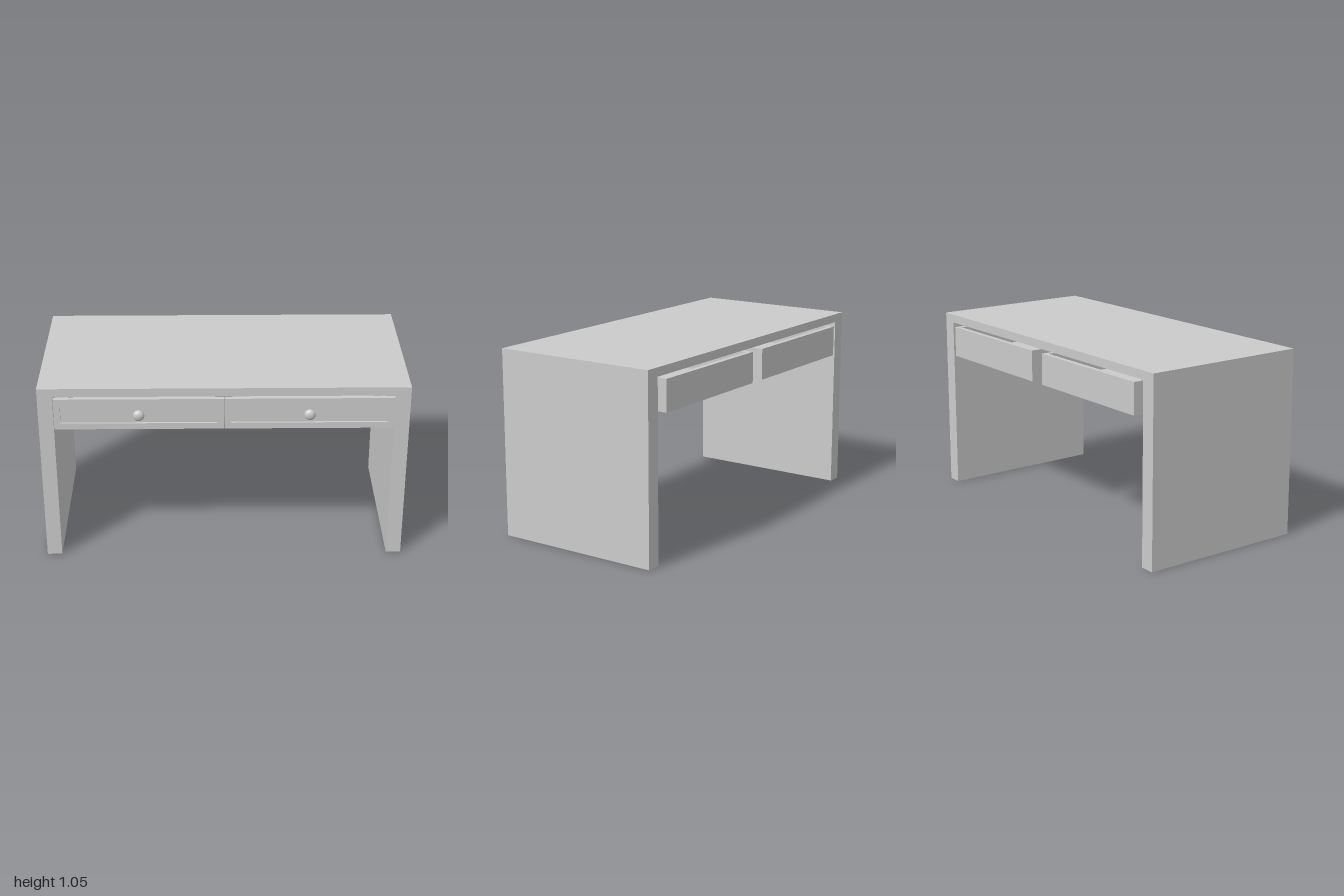
import * as THREE from 'three';

const grey = new THREE.MeshStandardMaterial({ color: 0xcccccc });

// Box given by its minimum and maximum corners
function box(name, x0, x1, y0, y1, z0, z1) {
  const mesh = new THREE.Mesh(new THREE.BoxGeometry(x1 - x0, y1 - y0, z1 - z0), grey);
  mesh.position.set((x0 + x1) / 2, (y0 + y1) / 2, (z0 + z1) / 2);
  mesh.name = name;
  return mesh;
}

// Picture-frame drawer front around a sunken panel
function drawerFront(w, y0, y1, z0, z1) {
  const group = new THREE.Group();
  group.name = 'drawerFront';
  const h = y1 - y0, m = 0.035;
  const rect = (a, b) => [[-a, -b], [a, -b], [a, b], [-a, b]].map(p => new THREE.Vector2(...p));
  const shape = new THREE.Shape(rect(w / 2, h / 2));
  shape.holes.push(new THREE.Path(rect(w / 2 - m, h / 2 - m)));
  const frame = new THREE.Mesh(
    new THREE.ExtrudeGeometry(shape, { depth: z1 - z0, bevelEnabled: false }), grey);
  frame.position.set(0, (y0 + y1) / 2, z0);
  frame.name = 'frontFrame';
  group.add(frame, box('frontPanel', -w / 2 + m, w / 2 - m, y0 + m, y1 - m, z0, z1 - 0.012));
  return group;
}

// Flattened round knob on a short stem
function knob() {
  const group = new THREE.Group();
  group.name = 'knob';
  const stem = new THREE.Mesh(new THREE.CylinderGeometry(0.011, 0.011, 0.045, 20), grey);
  stem.rotation.x = Math.PI / 2;
  stem.position.z = 0.469;
  stem.name = 'knobStem';
  const head = new THREE.Mesh(new THREE.SphereGeometry(1, 28, 18), grey);
  head.scale.set(0.031, 0.031, 0.02);
  head.position.z = 0.495;
  head.name = 'knobHead';
  group.add(stem, head);
  group.position.y = 0.903;
  return group;
}

// Open-topped drawer, longer than the desk is deep, with a raised bottom
function drawer(name) {
  const group = new THREE.Group();
  group.name = name;
  const w = 0.41, t = 0.028, y0 = 0.805, y1 = 0.98, back = -0.515, front = 0.44;
  for (const s of [-1, 1]) {
    const a = s * w, b = s * (w - t);
    group.add(box('drawerSide', Math.min(a, b), Math.max(a, b), y0, y1, back, front));
  }
  group.add(
    box('drawerBack', -w + t, w - t, y0, y1, back, back + t),
    box('drawerBottom', -w + t, w - t, y0 + 0.022, y0 + 0.037, back + t, front),
    drawerFront(0.915, y0, 0.985, front, 0.464),
    knob());
  return group;
}

export function createModel() {
  const model = new THREE.Group();
  model.name = 'desk';

  // Top slab and two full-depth side panels
  const back = -0.497, front = 0.46;
  model.add(
    box('deskTop', -1, 1, 0.998, 1.046, back, front),
    box('leftPanel', 0.918, 1, 0, 0.998, back, front),
    box('rightPanel', -1, -0.918, 0, 0.998, back, front));

  // Two drawers side by side
  for (const s of [-1, 1]) {
    const d = drawer(s > 0 ? 'leftDrawer' : 'rightDrawer');
    d.position.x = s * 0.458;
    model.add(d);
  }
  return model;
}
